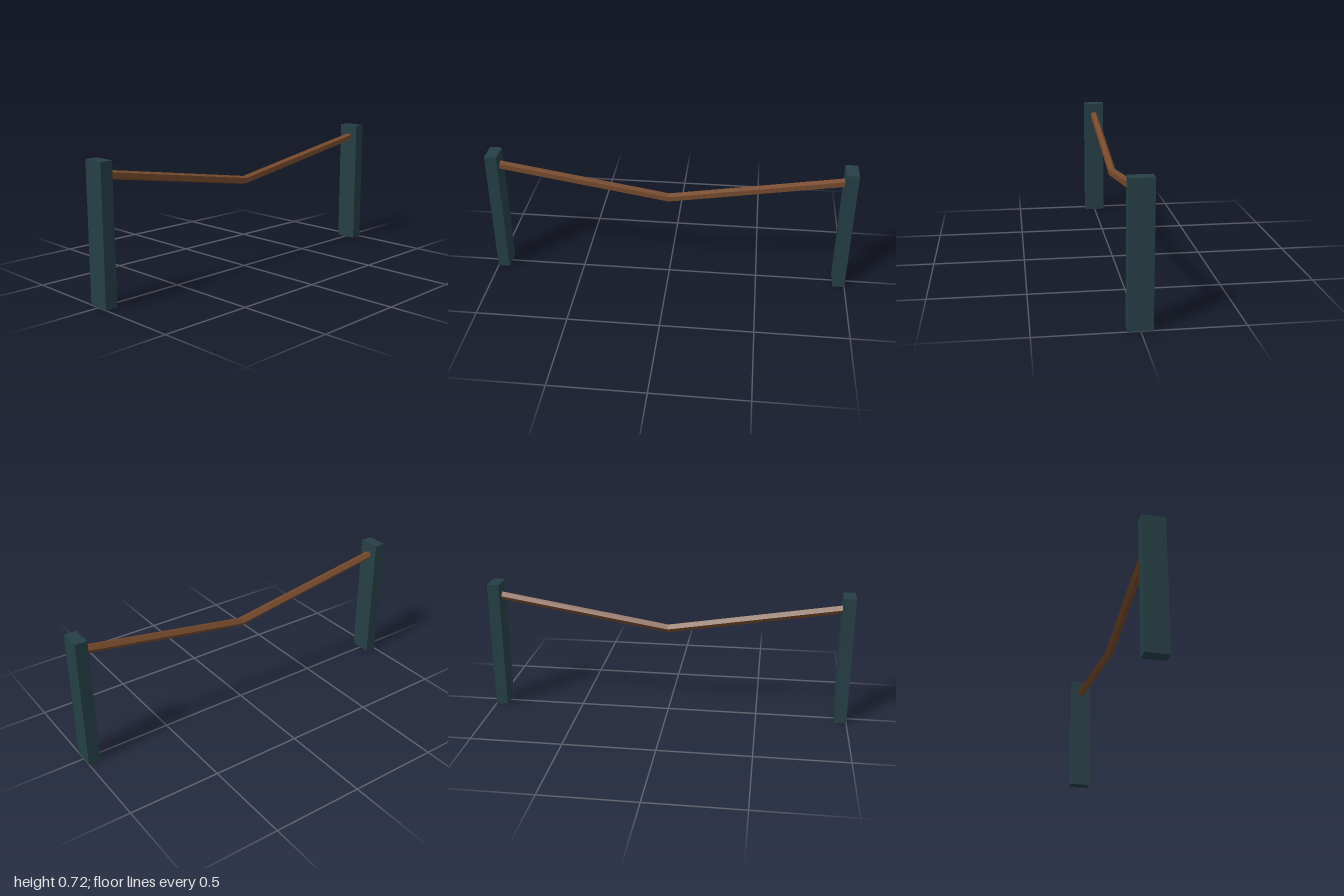
import * as THREE from 'three';

export function createModel() {
  const group = new THREE.Group();
  const postPaint = new THREE.MeshStandardMaterial({ color: 0x253f45 });
  const railWood = new THREE.MeshStandardMaterial({ color: 0x764a2c, flatShading: true });

  // Two upright posts
  const postW = 0.066, postH = 0.72, postD = 0.12;
  for (const side of [-1, 1]) {
    const post = new THREE.Mesh(new THREE.BoxGeometry(postW, postH, postD), postPaint);
    post.name = side > 0 ? 'leftPost' : 'rightPost';
    post.position.set(side * (1 - postW / 2), postH / 2, 0);
    group.add(post);
  }

  // Five-sided rail, flat towards the front, sagging to a kink at mid-span
  const endX = 1 - postW / 2, endY = 0.65, midY = 0.493, radius = 0.024;
  const geo = new THREE.CylinderGeometry(radius, radius, endX * 2, 5, 2, false, Math.PI);
  geo.rotateZ(Math.PI / 2);
  const p = geo.attributes.position;
  for (let i = 0; i < p.count; i++) {
    p.setY(i, p.getY(i) + midY + (endY - midY) * Math.abs(p.getX(i)) / endX);
  }
  geo.computeVertexNormals();
  const rail = new THREE.Mesh(geo, railWood);
  rail.name = 'saggingRail';
  group.add(rail);

  return group;
}
